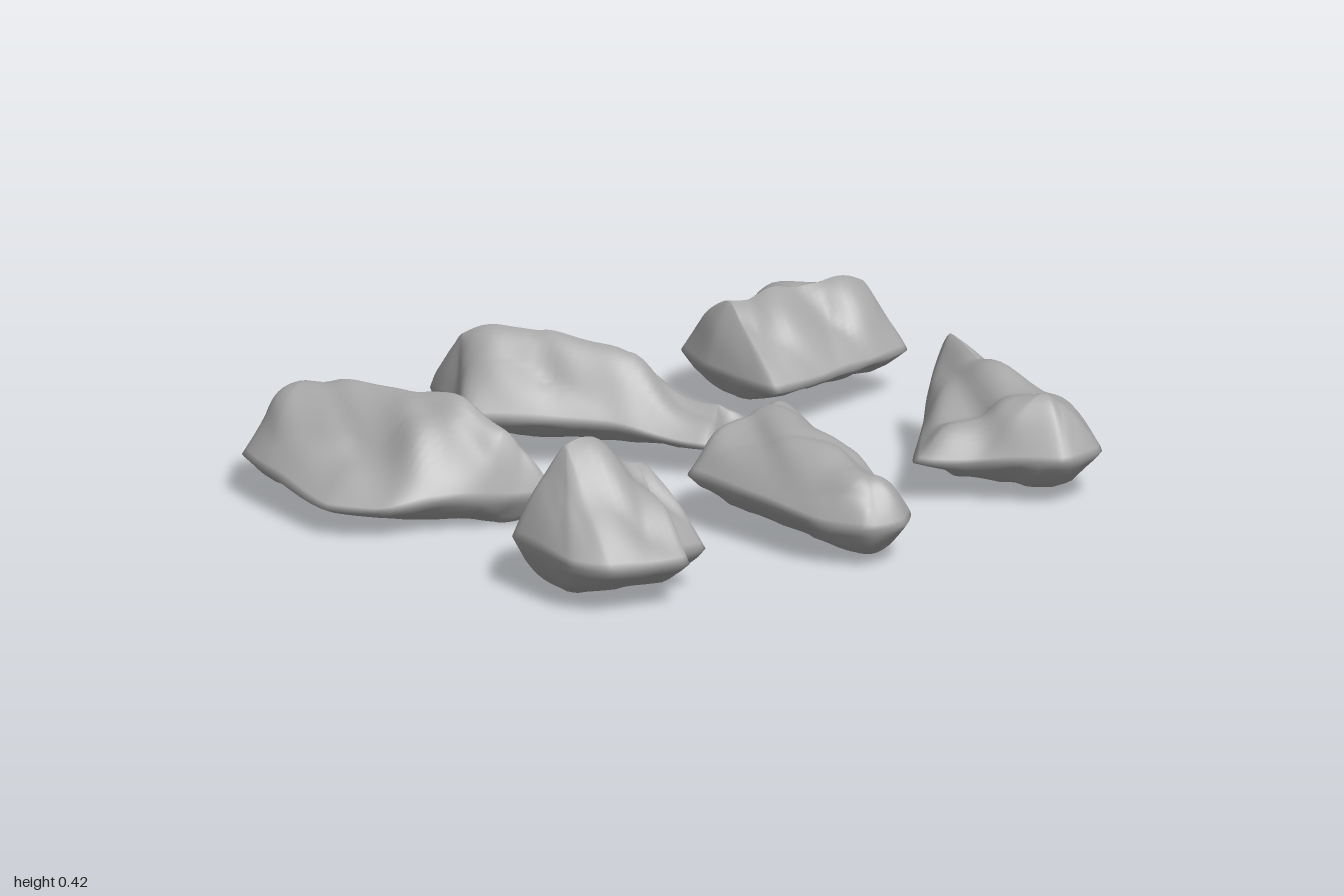
import * as THREE from 'three';
import { mergeVertices } from 'three/addons/utils/BufferGeometryUtils.js';

const SEGMENTS = 96, TOP_RINGS = 16, BOTTOM_RINGS = 8;
const { lerp, clamp } = THREE.MathUtils;

// Height of the upper surface, blended from the peaks by distance in plan
function blendedHeight(peaks, x, z) {
  let sum = 0, total = 0;
  for (const [px, py, pz] of peaks) {
    const w = 1 / (0.001 + Math.hypot(px - x, pz - z) ** 3);
    sum += w * py;
    total += w;
  }
  return sum / total;
}

// Nearest point, in plan, on the straight spine from the first to the last peak
function nearestOnSpine(peaks, p) {
  const [ax, , az] = peaks[0], [bx, , bz] = peaks[peaks.length - 1];
  const dx = bx - ax, dz = bz - az;
  const t = clamp(((p.x - ax) * dx + (p.z - az) * dz) / (dx * dx + dz * dz), 0, 1);
  return new THREE.Vector3(ax + dx * t, 0, az + dz * t);
}

// Folded waves give chipped hollows and ridges
const chips = (x, y, z) =>
  Math.abs(Math.sin(13 * x + 7 * z + 5 * y)) + Math.abs(Math.sin(9 * z - 15 * x + 11 * y + 1.7))
  + 0.6 * Math.sin(24 * x + 3) * Math.sin(21 * z + 18 * y) - 1.25;

// outline: widest contour [x, z], clockwise from above; peaks: [x, y, z]
// base: lowest height; rim: contour height as a share of the height above
// bulge: 1 is a straight slope, 2 and more is a rounded block
function rockGeometry(outline, peaks, { base, rim, bulge }) {
  const corners = outline.map(([x, z]) => new THREE.Vector3(x, 0, z));
  const loop = new THREE.CatmullRomCurve3(corners, true, 'catmullrom', 0.22).getSpacedPoints(SEGMENTS).slice(0, SEGMENTS);
  loop.forEach((p) => p.setY(lerp(base, blendedHeight(peaks, p.x, p.z), rim)));
  const spine = loop.map((p) => nearestOnSpine(peaks, p));

  // Rings run from the spine down to the rim, then in under the base
  const positions = [], index = [], rings = TOP_RINGS + BOTTOM_RINGS;
  for (let r = 0; r <= rings; r++) {
    const top = r <= TOP_RINGS;
    const s = top ? 1 - r / TOP_RINGS : (r - TOP_RINGS) / BOTTOM_RINGS;
    loop.forEach((p, j) => {
      const x = lerp(p.x, spine[j].x, s), z = lerp(p.z, spine[j].z, s);
      const goal = top ? blendedHeight(peaks, x, z) : base;
      const rise = 1 - Math.pow(1 - s, top ? bulge : 2.2);
      const y = lerp(p.y, goal, rise);
      const lift = chips(x, goal, z) * 0.02 * Math.min(1, 2.5 * s);
      const push = chips(x, y, z) * 0.04 * Math.sin(Math.PI * s);
      positions.push(
        x + (p.x - spine[j].x) * push,
        y + (top ? lift : Math.abs(lift) * (1 - s)),
        z + (p.z - spine[j].z) * push);
    });
  }
  for (let r = 0; r < rings; r++) {
    for (let j = 0; j < SEGMENTS; j++) {
      const k = (j + 1) % SEGMENTS, u = r * SEGMENTS, l = u + SEGMENTS;
      index.push(l + j, u + j, l + k, u + j, u + k, l + k);
    }
  }
  const geometry = new THREE.BufferGeometry();
  geometry.setAttribute('position', new THREE.Float32BufferAttribute(positions, 3));
  geometry.setIndex(index);
  const merged = mergeVertices(geometry, 1e-4);
  merged.computeVertexNormals();
  return merged;
}

export function createModel() {
  const group = new THREE.Group();
  group.name = 'rocks';
  const stone = new THREE.MeshStandardMaterial({ color: 0xa8a8a8 });
  stone.name = 'grey stone';
  const addRock = (name, outline, peaks, form) => {
    const mesh = new THREE.Mesh(rockGeometry(outline, peaks, form), stone);
    mesh.name = name;
    group.add(mesh);
  };

  // Long rock with a high middle
  addRock('backLeftRock',
    [[-0.92, -0.81], [-0.8, -0.87], [-0.67, -0.86], [-0.57, -0.76], [-0.5, -0.42], [-0.44, -0.12],
      [-0.47, -0.04], [-0.7, -0.14], [-0.91, -0.24], [-1, -0.38], [-0.96, -0.68]],
    [[-0.74, 0.32, -0.74], [-0.7, 0.33, -0.55], [-0.63, 0.37, -0.32], [-0.87, 0.2, -0.38], [-0.55, 0.25, -0.15]],
    { base: 0.01, rim: 0.36, bulge: 1.6 });

  // Slanting splinter
  addRock('backMiddleRock',
    [[-0.34, -0.55], [-0.26, -0.68], [-0.24, -0.78], [-0.2, -0.85], [-0.05, -0.66], [0.17, -0.41],
      [0.31, -0.21], [0.31, -0.08], [0.22, -0.1], [0.1, -0.05], [-0.06, -0.28]],
    [[-0.2, 0.32, -0.72], [-0.13, 0.36, -0.59], [0.02, 0.32, -0.42], [0.22, 0.17, -0.15]],
    { base: 0.06, rim: 0.33, bulge: 1.6 });

  // Wedge with a straight crest
  addRock('backRightRock',
    [[0.48, -0.19], [0.47, -0.48], [0.52, -0.64], [0.6, -0.69], [0.75, -0.7],
      [0.89, -0.66], [0.99, -0.37], [0.99, -0.24], [0.75, -0.2]],
    [[0.54, 0.32, -0.46], [0.72, 0.34, -0.46], [0.95, 0.32, -0.38]],
    { base: 0.06, rim: 0.3, bulge: 1.3 });

  // Tall peaked rock
  addRock('frontLeftRock',
    [[-0.91, 0.3], [-0.84, 0.26], [-0.55, 0.29], [-0.41, 0.33], [-0.41, 0.48], [-0.5, 0.53],
      [-0.52, 0.65], [-0.62, 0.67], [-0.66, 0.74], [-0.87, 0.67], [-0.93, 0.56]],
    [[-0.79, 0.43, 0.38], [-0.71, 0.44, 0.39], [-0.75, 0.36, 0.56], [-0.55, 0.28, 0.43]],
    { base: 0.01, rim: 0.36, bulge: 1.3 });

  // Blunt rounded bar
  addRock('frontMiddleRock',
    [[-0.2, 0.22], [-0.12, 0.16], [0, 0.13], [0.25, 0.2], [0.17, 0.53], [0.12, 0.67],
      [0.1, 0.79], [0.02, 0.86], [-0.09, 0.83], [-0.17, 0.68]],
    [[0.04, 0.31, 0.26], [0, 0.3, 0.48], [-0.02, 0.25, 0.75]],
    { base: 0.03, rim: 0.45, bulge: 2.2 });

  // Pointed rock with a side spur
  addRock('frontRightRock',
    [[0.38, 0.48], [0.6, 0.27], [0.76, 0.11], [0.8, 0.16], [0.86, 0.38],
      [0.9, 0.6], [0.8, 0.78], [0.66, 0.79], [0.5, 0.6]],
    [[0.77, 0.35, 0.19], [0.75, 0.31, 0.4], [0.53, 0.26, 0.48], [0.7, 0.31, 0.66]],
    { base: 0.04, rim: 0.4, bulge: 1.6 });

  return group;
}
